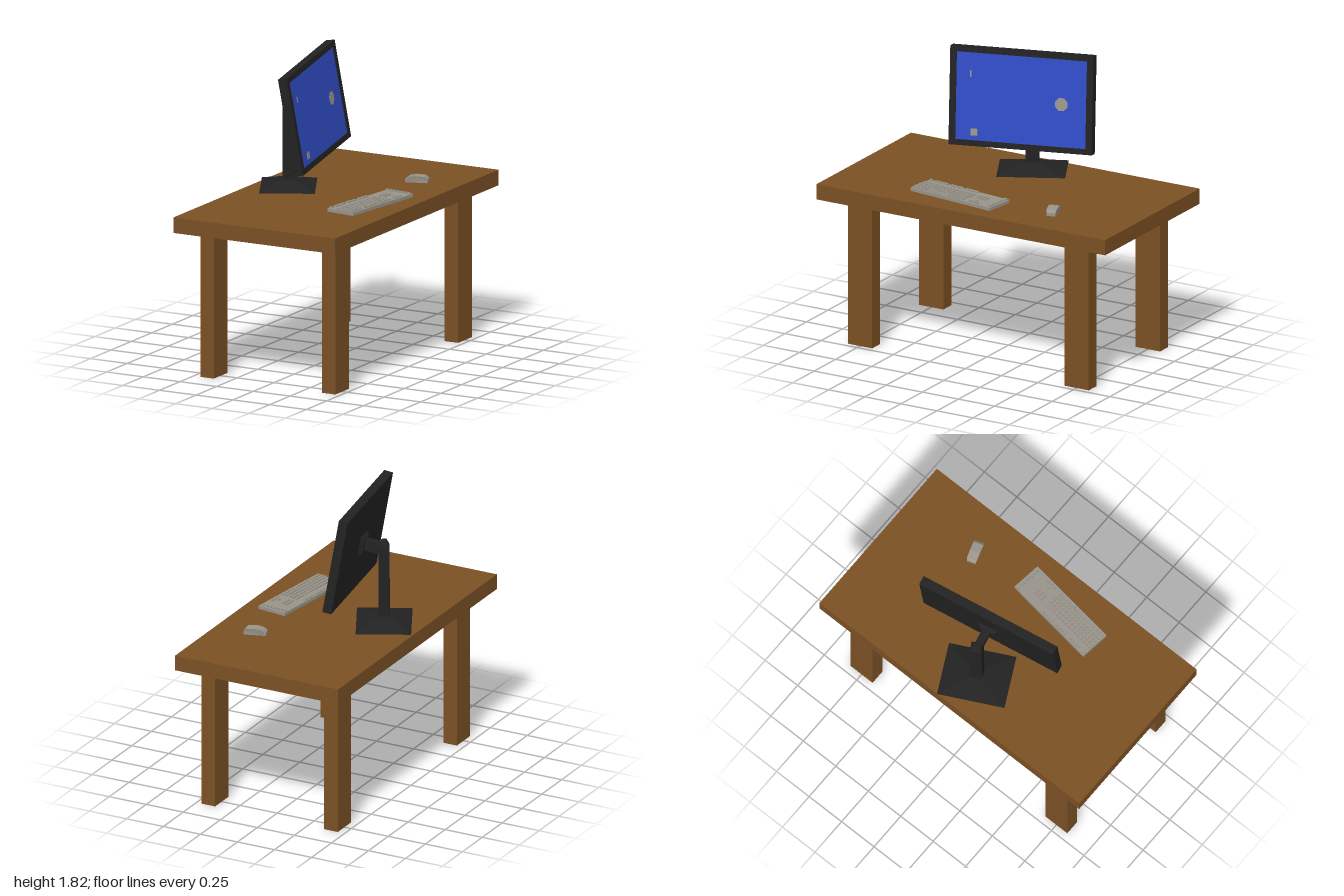
import * as THREE from 'three';
import { mergeGeometries } from 'three/addons/utils/BufferGeometryUtils.js';

const mat = (name, color) => {
  const m = new THREE.MeshStandardMaterial({ color });
  m.name = name;
  return m;
};

// box whose top face is scaled by sx, sz
function taperedBox(w, h, d, sx = 1, sz = 1) {
  const g = new THREE.BoxGeometry(w, h, d);
  const p = g.attributes.position;
  for (let i = 0; i < p.count; i++) {
    if (p.getY(i) > 0) p.setXYZ(i, p.getX(i) * sx, p.getY(i), p.getZ(i) * sz);
  }
  g.computeVertexNormals();
  return g;
}

function rectPath(Type, w, h) {
  const s = new Type();
  s.moveTo(-w / 2, -h / 2);
  s.lineTo(w / 2, -h / 2);
  s.lineTo(w / 2, h / 2);
  s.lineTo(-w / 2, h / 2);
  s.closePath();
  return s;
}

export function createModel() {
  const wood = mat('wood', 0x7a5024);
  const black = mat('black plastic', 0x222222);
  const blue = mat('screen blue', 0x304bc4);
  const grey = mat('grey plastic', 0x98948a);

  const model = new THREE.Group();
  model.name = 'computerDesk';
  const add = (parent, name, geo, material, x = 0, y = 0, z = 0) => {
    const m = new THREE.Mesh(geo, material);
    m.name = name;
    m.position.set(x, y, z);
    parent.add(m);
    return m;
  };
  const group = (name, x = 0, y = 0, z = 0, ry = 0) => {
    const g = new THREE.Group();
    g.name = name;
    g.position.set(x, y, z);
    g.rotation.y = ry;
    model.add(g);
    return g;
  };

  // table
  add(model, 'tableTop', new THREE.BoxGeometry(1.1, 0.095, 2), wood, 0.005, 0.9525, 0);
  for (const x of [-0.408, 0.42]) for (const z of [-0.75, 0.75]) {
    add(model, 'tableLeg', new THREE.BoxGeometry(0.092, 0.905, 0.168), wood, x, 0.4525, z);
  }

  // monitor stand: sloped base, post and narrowed cap
  const stand = group('monitorStand', -0.31, 0, 0.018, 0.47);
  add(stand, 'standBase', taperedBox(0.331, 0.047, 0.411, 0.24, 0.22), black, 0, 1.0395, 0);
  add(stand, 'standPost', taperedBox(0.068, 0.45, 0.078, 0.93, 0.95), black, 0, 1.275, 0);
  add(stand, 'standCap', taperedBox(0.063, 0.04, 0.074, 0.4, 0.7), black, 0, 1.52, 0);

  // monitor, local axes: x right, y up, z out of the screen
  const monitor = group('monitor', -0.12, 1.508, -0.015);
  const right = new THREE.Vector3(-0.17, 0.035, -0.89).normalize();
  const out = new THREE.Vector3(0.973, 0.161, -0.18);
  out.addScaledVector(right, -out.dot(right)).normalize();
  const up = new THREE.Vector3().crossVectors(out, right);
  monitor.quaternion.setFromRotationMatrix(new THREE.Matrix4().makeBasis(right, up, out));
  add(monitor, 'monitorBack', new THREE.BoxGeometry(0.907, 0.598, 0.045), black, 0, 0, -0.0325);
  const frame = rectPath(THREE.Shape, 0.907, 0.598);
  frame.holes.push(rectPath(THREE.Path, 0.826, 0.53));
  add(monitor, 'bezel', new THREE.ExtrudeGeometry(frame, { depth: 0.01, bevelEnabled: false }), black, 0, 0, -0.01);
  add(monitor, 'screen', new THREE.BoxGeometry(0.826, 0.53, 0.004), blue, 0, 0, -0.008);
  // painted marks on the screen
  add(monitor, 'screenMark', new THREE.CylinderGeometry(0.042, 0.042, 0.002, 8).rotateY(Math.PI / 8).rotateX(Math.PI / 2), grey, 0.254, -0.008, -0.005);
  add(monitor, 'screenMark', new THREE.BoxGeometry(0.042, 0.042, 0.002), grey, -0.295, -0.215, -0.005);
  add(monitor, 'screenMark', new THREE.BoxGeometry(0.01, 0.04, 0.002), grey, -0.322, 0.136, -0.005);
  // mount joining the panel to the post
  add(monitor, 'mountPlate', taperedBox(0.13, 0.025, 0.12, 0.7, 0.7).rotateX(-Math.PI / 2), black, 0, 0, -0.0665);
  add(monitor, 'mountNeck', new THREE.BoxGeometry(0.05, 0.065, 0.11), black, 0, 0.005, -0.12);

  // keyboard: function keys along -x, number keys at the -z end
  const keyboard = group('keyboard', 0.32, 1, 0.145, -0.13);
  add(keyboard, 'keyboardBody', new THREE.BoxGeometry(0.19, 0.02, 0.6), grey, 0, 0.012, 0);
  const keys = [];
  const key = (x, z, w = 0.019, d = 0.02) => keys.push(taperedBox(w, 0.01, d, 0.85, 0.85).translate(x, 0.026, z));
  key(-0.08, 0.282);
  for (let g = 0; g < 3; g++) for (let i = 0; i < 4; i++) key(-0.08, 0.235 - g * 0.115 - i * 0.024);
  for (let row = 0; row < 5; row++) {
    const x = -0.028 + row * 0.026;
    for (let i = 0; i < 15; i++) {
      if (row === 4 && i > 3 && i < 10) continue;
      key(x, 0.284 - i * 0.026);
    }
  }
  key(0.076, 0.115, 0.019, 0.15); // space bar
  for (let c = 0; c < 2; c++) for (let r = 0; r < 3; r++) key(-0.028 + c * 0.026, -0.135 - r * 0.026);
  key(0.05, -0.161);
  for (let i = 0; i < 3; i++) key(0.076, -0.135 - i * 0.026);
  for (let i = 0; i < 7; i++) key(-0.08 + i * 0.026, -0.28);
  add(keyboard, 'keys', mergeGeometries(keys), grey);

  // mouse: chamfered side profile, narrowed toward the ends
  const mouse = group('mouse', 0.288, 1, -0.484, 0.3);
  const side = new THREE.Shape([
    [-0.068, 0.004], [0.068, 0.004], [0.068, 0.024], [0.05, 0.042],
    [-0.01, 0.045], [-0.05, 0.034], [-0.068, 0.022],
  ].map(([x, y]) => new THREE.Vector2(x, y)));
  const body = new THREE.ExtrudeGeometry(side, { depth: 0.084, bevelEnabled: false }).translate(0, 0, -0.042);
  const p = body.attributes.position;
  for (let i = 0; i < p.count; i++) {
    const end = Math.abs(p.getX(i)) > 0.06 ? 0.65 : 1;
    const top = p.getY(i) > 0.03 ? 0.75 : 1;
    p.setZ(i, p.getZ(i) * end * top);
  }
  body.computeVertexNormals();
  add(mouse, 'mouseBody', body, grey);
  for (const s of [-1, 1]) {
    add(mouse, 'mouseButton', new THREE.BoxGeometry(0.034, 0.004, 0.026), grey, -0.032, 0.0395, s * 0.015).rotation.z = 0.27;
  }
  return model;
}
